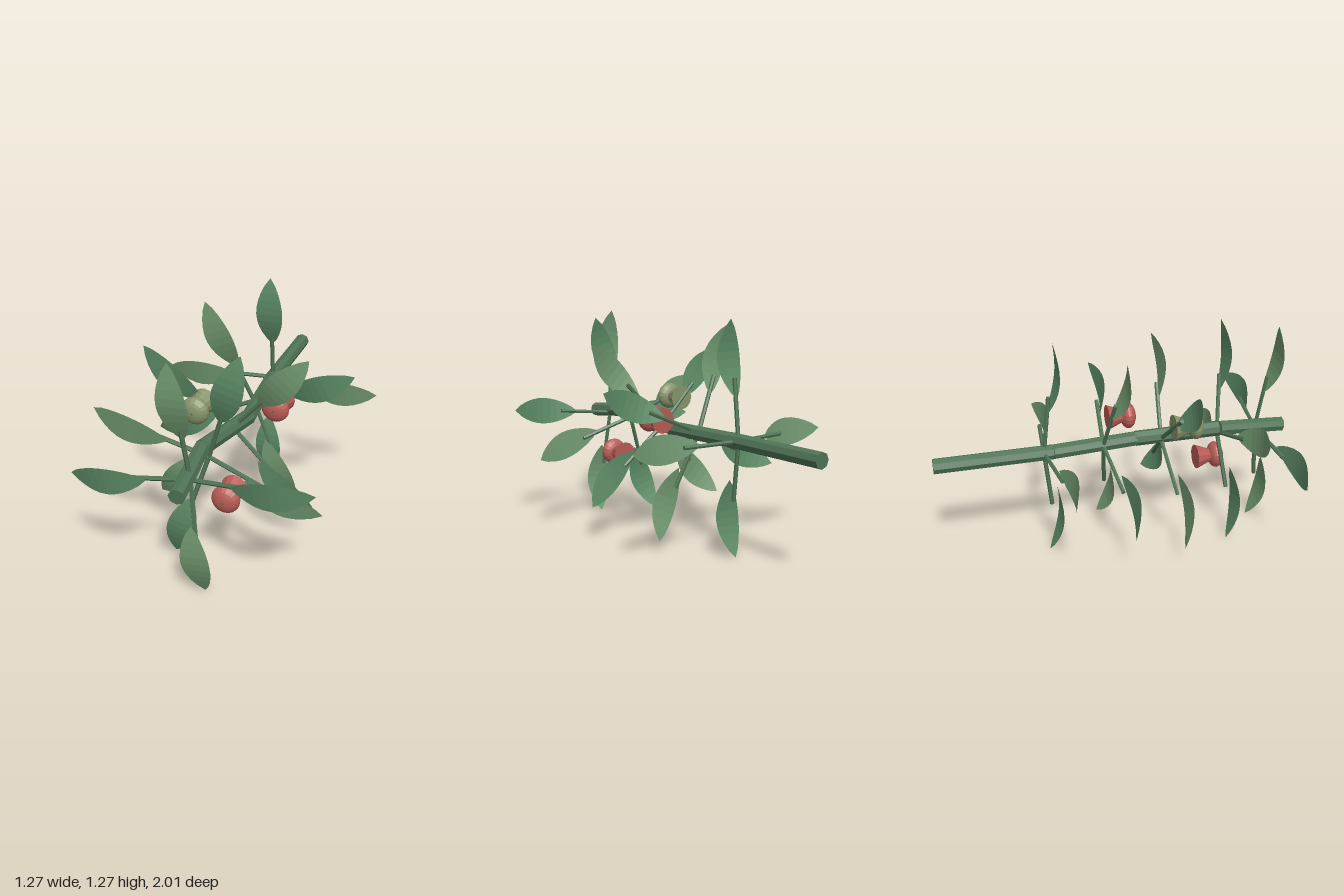
import * as THREE from 'three';

const mat = (color, extra = {}) => new THREE.MeshStandardMaterial({ color, flatShading: true, ...extra });
const BRANCH = mat(0x4f7355);
const LEAVES = [0x6f966f, 0x5c8a66].map((c) => mat(c, { side: THREE.DoubleSide }));
const RED = mat(0xb85c55);
const UNRIPE = mat(0x87946a);
const AXIS_Y = 0.64;

// Straight rod between two points
function rod(a, b, radius, sides, name) {
  const dir = b.clone().sub(a);
  const mesh = new THREE.Mesh(new THREE.CylinderGeometry(radius, radius, dir.length(), sides), BRANCH);
  mesh.quaternion.setFromUnitVectors(new THREE.Vector3(0, 1, 0), dir.normalize());
  mesh.position.copy(a).add(b).multiplyScalar(0.5);
  mesh.name = name;
  return mesh;
}

// Pointed leaf blade along x, arched towards +z
function leafGeometry(length, halfWidth, arch) {
  const g = new THREE.PlaneGeometry(1, 2, 10, 4);
  const p = g.attributes.position;
  for (let i = 0; i < p.count; i++) {
    const t = p.getX(i) + 0.5;
    const s = Math.max(0, Math.sin(Math.PI * t));
    p.setXYZ(i, (t - 0.5) * length, p.getY(i) * halfWidth * Math.pow(s, 0.78), arch * s);
  }
  g.computeVertexNormals();
  return g;
}

// Flattened berry facing +z with a flared cup behind it
function fruit(x, y, z, material) {
  const group = new THREE.Group();
  const berry = new THREE.Mesh(new THREE.SphereGeometry(0.077, 18, 12), material);
  berry.name = 'berry';
  berry.rotation.x = Math.PI / 2;
  berry.scale.y = 0.58;
  const cup = new THREE.Mesh(new THREE.CylinderGeometry(0.034, 0.072, 0.095, 12), material);
  cup.name = 'cup';
  cup.rotation.x = Math.PI / 2;
  cup.position.z = -0.075;
  const dot = new THREE.Mesh(new THREE.CylinderGeometry(0.005, 0.005, 0.006, 8), BRANCH);
  dot.name = 'berryTip';
  dot.rotation.x = Math.PI / 2;
  dot.position.z = 0.044;
  group.add(berry, cup, dot);
  group.position.set(x, y, z);
  group.name = 'fruit';
  return group;
}

export function createModel() {
  const model = new THREE.Group();
  model.name = 'leafyBranch';

  // Crooked main branch
  const path = [[0, AXIS_Y, -1], [0, AXIS_Y, -0.35], [0.038, AXIS_Y, 0.13], [-0.038, 0.682, 0.6], [0, AXIS_Y, 1]]
    .map((p) => new THREE.Vector3(...p));
  for (let i = 0; i < path.length - 1; i++) {
    model.add(rod(path[i], path[i + 1], 0.043, 8, 'branchSegment'));
  }

  // Whorls of four stalked leaves, each turned 24 degrees from the last
  const blade = leafGeometry(0.42, 0.078, 0.045);
  [-0.365, -0.03, 0.305, 0.64, 0.872].forEach((z, i) => {
    const whorl = new THREE.Group();
    whorl.name = 'leafWhorl';
    for (let j = 0; j < 4; j++) {
      const a = THREE.MathUtils.degToRad(24 * i + 90 * j);
      const at = (r, dz) => new THREE.Vector3(r * Math.cos(a), r * Math.sin(a), dz);
      whorl.add(rod(at(0, -0.035), at(0.33, 0), 0.012, 6, 'leafStalk'));
      const leaf = new THREE.Mesh(blade, LEAVES[(i + j) % 2]);
      leaf.name = 'leaf';
      leaf.position.copy(at(0.427, 0.005));
      leaf.rotation.set(0.13, 0, a);
      whorl.add(leaf);
    }
    whorl.position.set(0, AXIS_Y, z);
    model.add(whorl);
  });

  // Fruits
  model.add(
    fruit(0.19, 0.715, 0.127, RED),
    fruit(0.102, 0.434, 0.642, RED),
    fruit(-0.153, 0.78, 0.413, UNRIPE),
  );
  return model;
}
